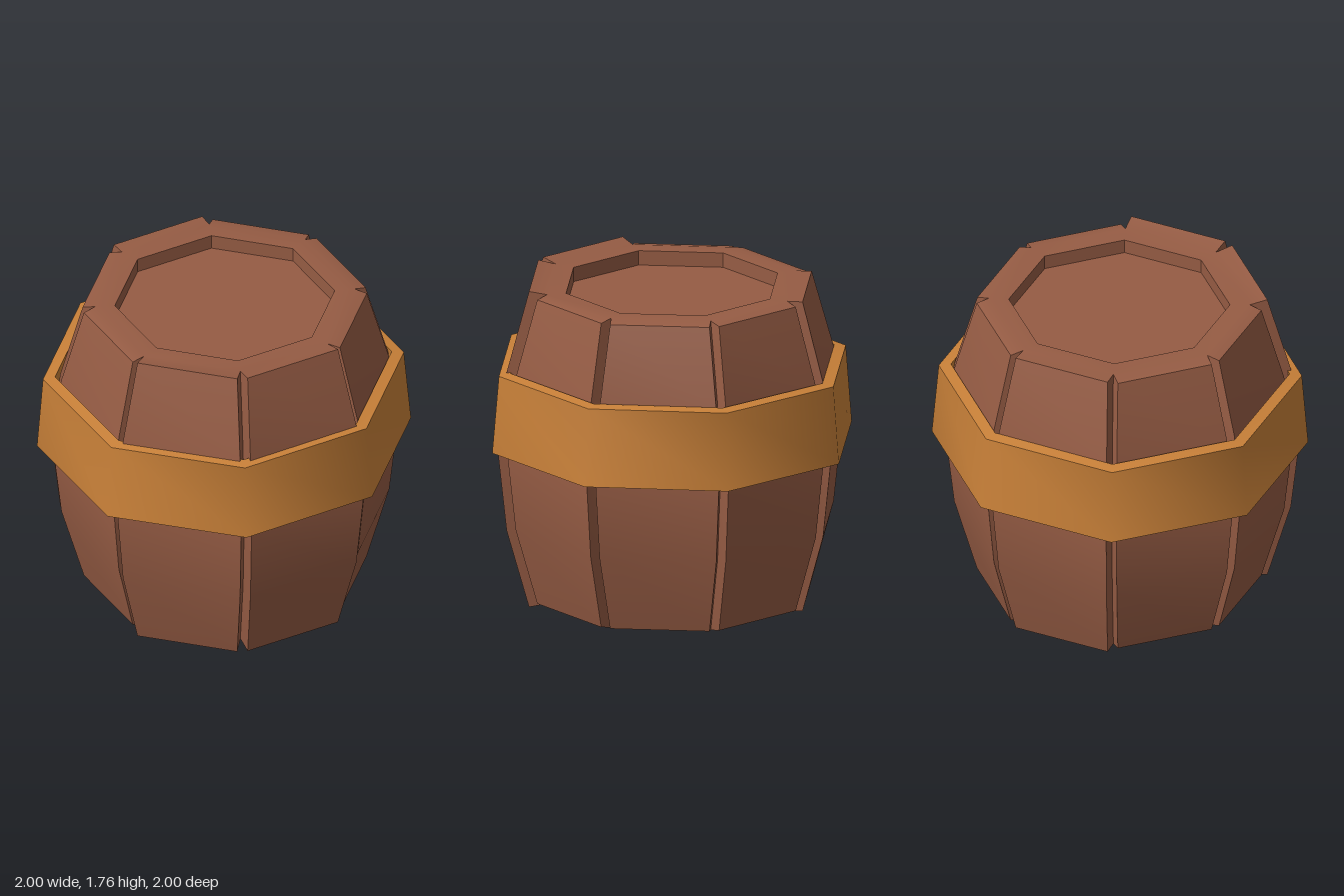
import * as THREE from 'three';
import { toCreasedNormals } from 'three/addons/utils/BufferGeometryUtils.js';

const SIDES = 8;
const MID = 0.88; // half height of the barrel
// corner radius and height of each ring of the bulging body
const PROFILE = [[0.797, 0], [0.922, 0.44], [0.97, 0.88], [0.922, 1.32], [0.797, 1.76]];
// each stave is slightly larger or smaller than its neighbours
const STAVE_SCALE = [0.963, 0.963, 1, 1, 0.963, 0.963, 0.98, 0.963];
const GROOVE_DEPTH = 0.09;
const GROOVE_HALF = 0.03;
const RIM = 0.588;
const RECESS = 0.08;

const at = (k, r, y) => {
  const a = (k * Math.PI * 2) / SIDES;
  return new THREE.Vector3(Math.cos(a) * r, y, Math.sin(a) * r);
};
const scaled = (p, s) => p.set(p.x * s, MID + (p.y - MID) * s, p.z * s);

function geometryFrom(tris, crease) {
  const g = new THREE.BufferGeometry().setFromPoints(tris);
  return toCreasedNormals(g, crease);
}

// cross-section of one stave: groove bottom, left edge, right edge, groove bottom
function staveRow(k, [r, y]) {
  const c0 = at(k, r, y), c1 = at(k + 1, r, y);
  const step = c1.clone().sub(c0).setLength(GROOVE_HALF);
  return [
    scaled(at(k, r - GROOVE_DEPTH, y), 0.98),
    scaled(c0.add(step), STAVE_SCALE[k]),
    scaled(c1.sub(step), STAVE_SCALE[k]),
    scaled(at((k + 1) % SIDES, r - GROOVE_DEPTH, y), 0.98),
  ];
}

function staveGeometry(k) {
  const tris = [];
  const rows = PROFILE.map((p) => staveRow(k, p));
  for (let j = 0; j < rows.length - 1; j++) {
    for (let i = 0; i < 3; i++) {
      const a = rows[j][i], b = rows[j + 1][i], c = rows[j + 1][i + 1], d = rows[j][i + 1];
      tris.push(a, b, c, a, c, d);
    }
  }
  return geometryFrom(tris, 0.5);
}

// end ring, recess wall and sunken board; top = true for the upper end
function endGeometry(top) {
  const tris = [];
  const add = (a, b, c) => (top ? tris.push(a, c, b) : tris.push(a, b, c));
  const rimY = top ? 1.74 : 0.02;
  const boardY = top ? rimY - RECESS : rimY + RECESS;
  const centre = new THREE.Vector3(0, boardY, 0);
  for (let k = 0; k < SIDES; k++) {
    const [g0, e0, e1, g1] = staveRow(k, PROFILE[top ? PROFILE.length - 1 : 0]);
    const n = (k + 1) % SIDES;
    const i0 = at(k, RIM, rimY), i1 = at(n, RIM, rimY);
    const b0 = at(k, RIM, boardY), b1 = at(n, RIM, boardY);
    add(g0, e0, e1);
    add(g0, e1, g1);
    add(i0, g0, g1);
    add(i0, g1, i1);
    add(b0, i0, i1);
    add(b0, i1, b1);
    add(centre, b0, b1);
  }
  return geometryFrom(tris, 0.4);
}

export function createModel() {
  const wood = new THREE.MeshStandardMaterial({ color: 0x965c44 });
  wood.name = 'brown wood';
  const metal = new THREE.MeshStandardMaterial({ color: 0xc88038 });
  metal.name = 'copper band';

  const model = new THREE.Group();
  model.name = 'barrel';
  const add = (name, geometry, material, parent = model) => {
    const mesh = new THREE.Mesh(geometry, material);
    mesh.name = name;
    parent.add(mesh);
    return mesh;
  };

  // wooden body
  const body = new THREE.Group();
  body.name = 'body';
  body.position.z = -0.008;
  model.add(body);
  for (let k = 0; k < SIDES; k++) add('stave' + (k + 1), staveGeometry(k), wood, body);
  add('topEnd', endGeometry(true), wood, body);
  add('bottomEnd', endGeometry(false), wood, body);

  // wide band around the upper middle, slightly crooked
  const section = [[1, 0.88], [0.965, 1.305], [0.9, 1.315], [0.9, 0.885], [1, 0.88]]
    .map(([r, y]) => new THREE.Vector2(r, y));
  const band = add('band', toCreasedNormals(new THREE.LatheGeometry(section, SIDES), 1), metal);
  band.position.z = -0.005;
  band.rotation.set(-0.006, 0, 0.004);

  return model;
}
